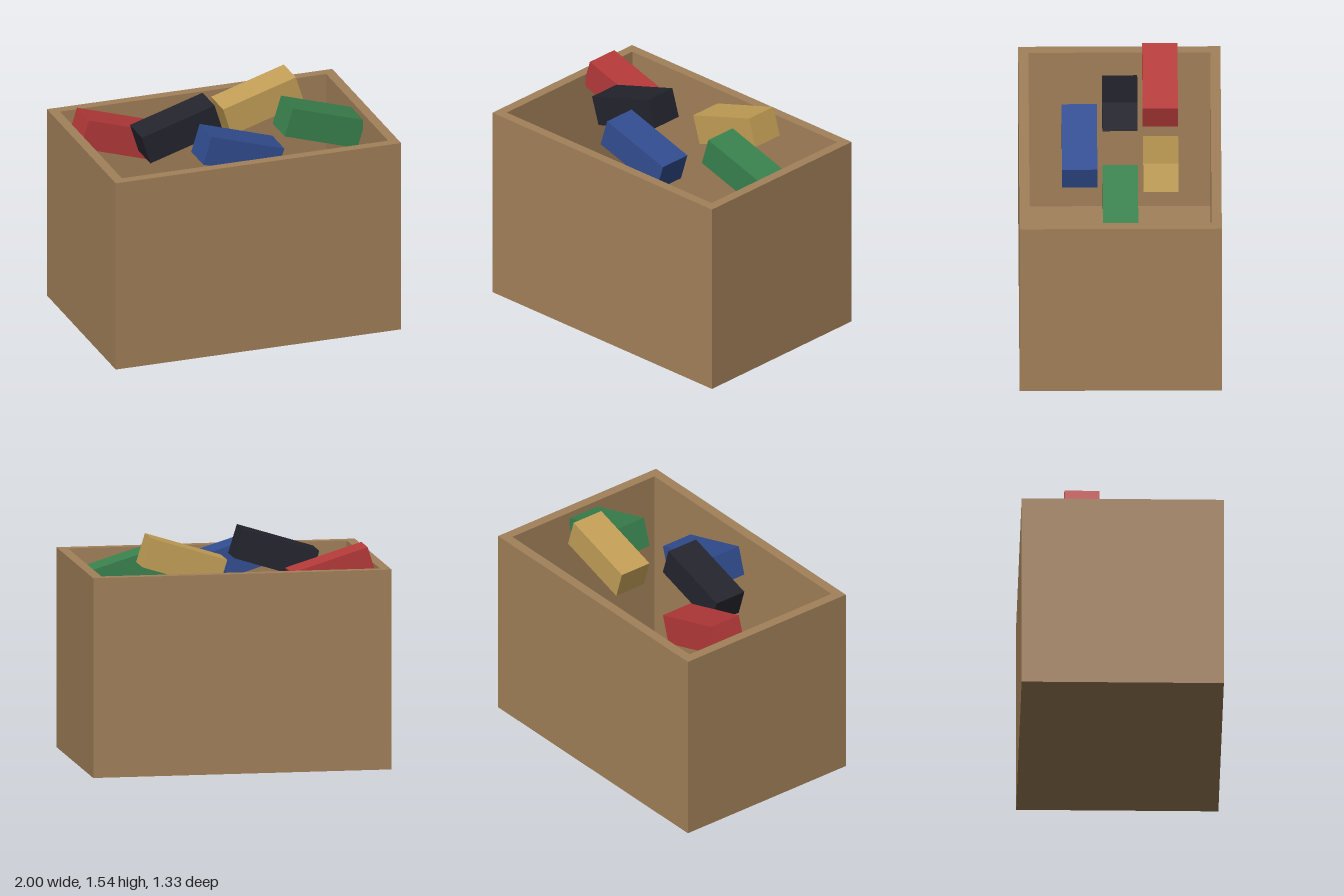
import * as THREE from 'three';

const mat = (name, color) => {
  const m = new THREE.MeshStandardMaterial({ color });
  m.name = name;
  return m;
};

export function createModel() {
  const group = new THREE.Group();
  group.name = 'boxOfBlocks';
  const W = 2, H = 1.333, D = 1.333, T = 0.067;
  const cardboard = mat('cardboard', 0xa3815a);

  const add = (name, geometry, material, x, y, z) => {
    const mesh = new THREE.Mesh(geometry, material);
    mesh.name = name;
    mesh.position.set(x, y, z);
    group.add(mesh);
    return mesh;
  };

  const rect = (Shape, w, d) => new Shape([
    new THREE.Vector2(-w / 2, -d / 2), new THREE.Vector2(w / 2, -d / 2),
    new THREE.Vector2(w / 2, d / 2), new THREE.Vector2(-w / 2, d / 2),
  ]);

  // Four walls as one rectangular ring, standing on the edge of the floor
  const ring = rect(THREE.Shape, W, D);
  ring.holes.push(rect(THREE.Path, W - 2 * T, D - 2 * T));
  const walls = new THREE.ExtrudeGeometry(ring, { depth: H, bevelEnabled: false });
  walls.rotateX(-Math.PI / 2);
  add('walls', walls, cardboard, 0, 0, 0);

  // Floor panel inside the walls
  add('floor', new THREE.BoxGeometry(W - 2 * T, T, D - 2 * T), cardboard, 0, T / 2, 0);

  // Tilted blocks: name, colour, x, y, z, tilt
  const block = new THREE.BoxGeometry(0.533, 0.2, 0.233);
  const blocks = [
    ['red', 0xb63a3a, -0.667, 1.267, -0.267, -0.3],
    ['black', 0x24242e, -0.333, 1.367, 0, 0.3],
    ['blue', 0x324e92, 0, 1.267, 0.267, -0.3],
    ['yellow', 0xc4a057, 0.333, 1.367, -0.267, 0.3],
    ['green', 0x3a824e, 0.667, 1.267, 0, -0.3],
  ];
  for (const [name, color, x, y, z, tilt] of blocks) {
    add(name + 'Block', block, mat(name, color), x, y, z).rotation.z = tilt;
  }
  return group;
}
